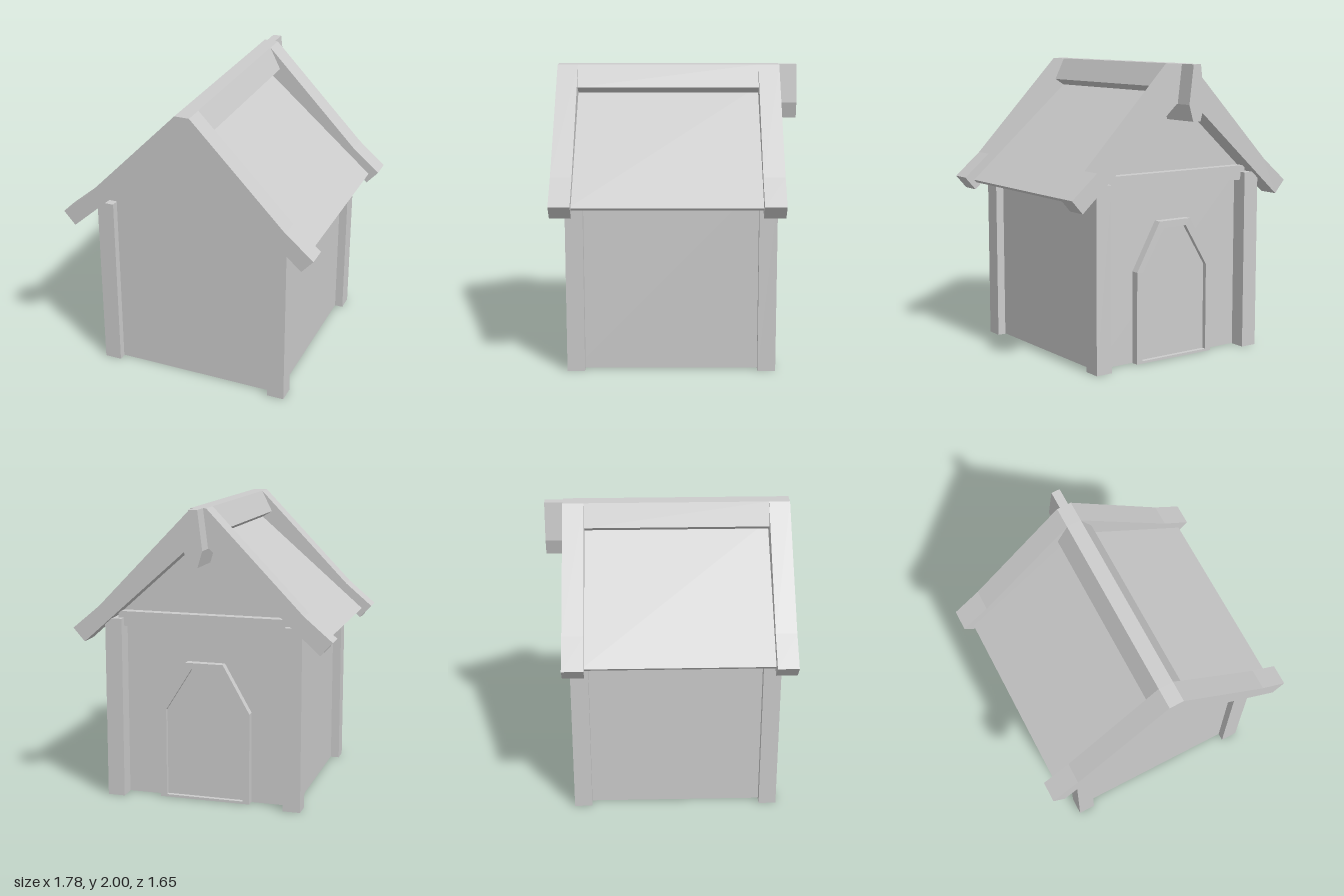
import * as THREE from 'three';

const material = new THREE.MeshStandardMaterial({ color: 0xcccccc, flatShading: true });

function add(group, name, geometry) {
  const mesh = new THREE.Mesh(geometry, material);
  mesh.name = name;
  group.add(mesh);
  return mesh;
}

// Box given by its minimum and maximum on each axis
function box(group, name, [x0, x1], [y0, y1], [z0, z1]) {
  const mesh = add(group, name, new THREE.BoxGeometry(x1 - x0, y1 - y0, z1 - z0));
  mesh.position.set((x0 + x1) / 2, (y0 + y1) / 2, (z0 + z1) / 2);
  return mesh;
}

const toPoints = (list) => list.map(([x, y]) => new THREE.Vector2(x, y));

// Full symmetric outline from its right half, listed bottom to top
const mirrored = (half) => [...half, ...half.map(([x, y]) => [-x, y]).reverse()];

// Outline in x and y, extruded from z0 to z1
function slab(group, name, outline, z0, z1, hole) {
  const shape = new THREE.Shape(toPoints(outline));
  if (hole) shape.holes.push(new THREE.Path(toPoints(hole)));
  const geometry = new THREE.ExtrudeGeometry(shape, { depth: z1 - z0, bevelEnabled: false });
  geometry.translate(0, 0, z0);
  return add(group, name, geometry);
}

export function createModel() {
  const model = new THREE.Group();
  model.name = 'doghouse';

  // Walls with gables
  slab(model, 'body', mirrored([[0.62, 0.003], [0.62, 1.28], [0.06, 1.76]]), -0.55, 0.685);

  // Corner posts
  for (const side of [-1, 1]) {
    const x = [side * 0.62 - 0.06, side * 0.62 + 0.058];
    box(model, 'frontPost', x, [0, 1.24], [0.62, 0.738]);
    box(model, 'backPost', x, [0, 1.24], [-0.66, -0.54]);
  }

  // Crossbeam over the doorway
  box(model, 'crossbeam', [-0.6, 0.6], [1.185, 1.285], [-0.615, -0.53]);

  // Doorway frame with a recessed panel
  const frame = mirrored([[0.315, 0.003], [0.315, 0.63], [0.13, 0.955]]);
  const opening = mirrored([[0.27, 0.02], [0.27, 0.62], [0.09, 0.91]]);
  slab(model, 'doorFrame', frame, -0.605, -0.54, opening);
  slab(model, 'doorPanel', opening, -0.575, -0.54);

  // Sloping roof panels
  for (const side of [-1, 1]) {
    const outline = [[0, 1.815], [0, 1.855], [0.82, 1.15], [0.8, 1.13]].map(([x, y]) => [side * x, y]);
    slab(model, 'roofPanel', outline, -0.58, 0.7);
  }

  // Ridge cap, flush with the barge boards
  slab(model, 'ridgeCap', mirrored([[0.055, 1.808], [0.125, 1.85], [0.05, 2]]), -0.56, 0.685);

  // Barge boards at both ends
  const barge = [
    [0.07, 1.74], [0.81, 1.08], [0.89, 1.17], [0.7, 1.33], [0.05, 2],
    [-0.05, 2], [-0.7, 1.33], [-0.89, 1.17], [-0.81, 1.08], [-0.07, 1.74],
  ];
  slab(model, 'frontBargeBoard', barge, 0.685, 0.826);
  slab(model, 'backBargeBoard', barge, -0.704, -0.56);

  // Finial over the doorway, reaching back to the gable
  slab(model, 'finial', mirrored([[0.03, 1.63], [0.063, 1.74], [0.03, 2]]), -0.826, -0.54);

  return model;
}
